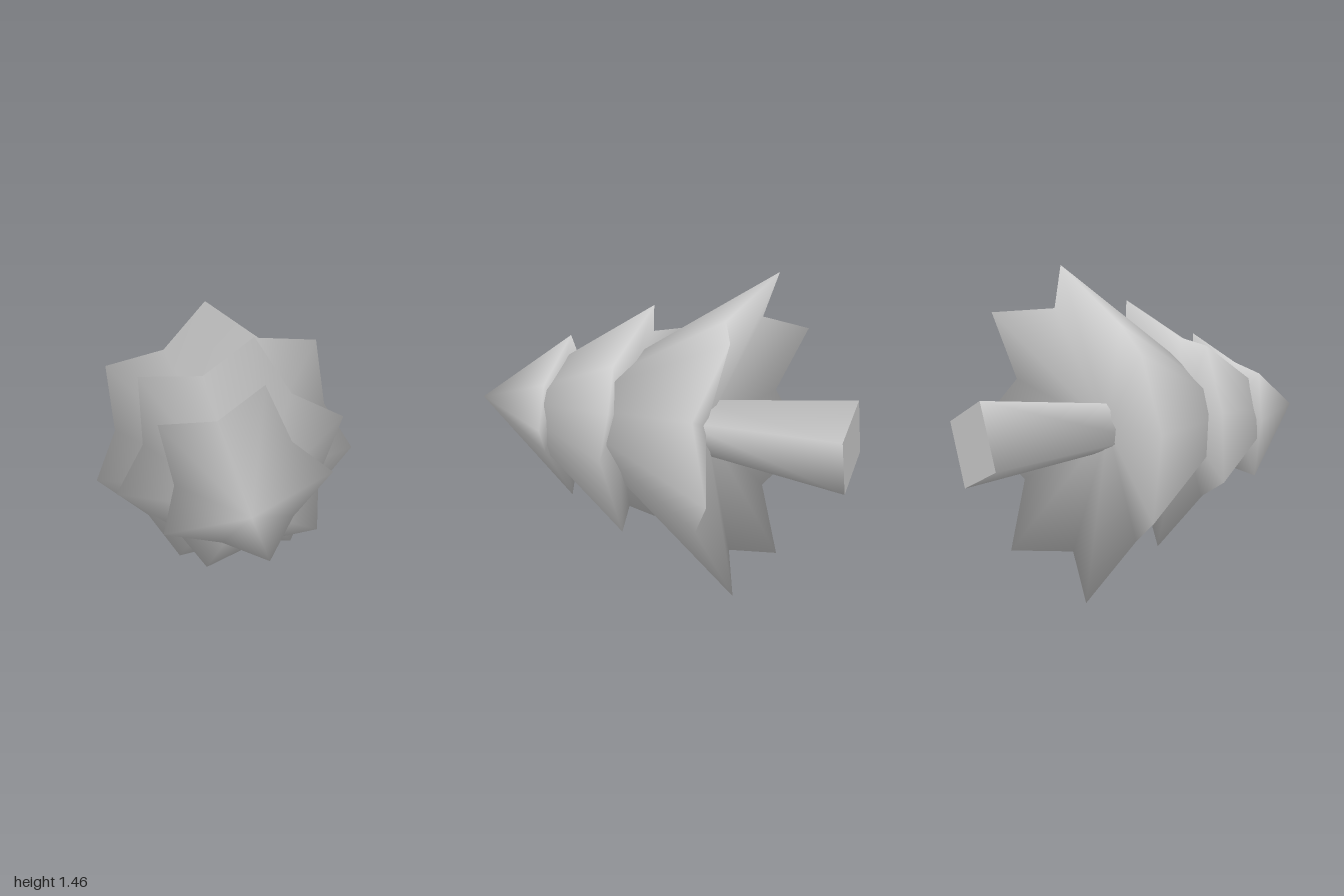
import * as THREE from 'three';

const AXIS_Y = 0.715; // the tree lies along z, tip towards +z

// Star-rimmed cone with a recessed underside. The rim is shared by both sides and
// rounded softly: its normals lean backwards by tipLean and notchLean.
function tierGeometry(t) {
  const n = t.points * 2;
  const pos = [0, 0, t.apex, 0, 0, t.base];
  const normal = [0, 0, 1, 0, 0, -1];
  const index = [];
  for (let i = 0; i < n; i++) {
    const a = THREE.MathUtils.degToRad(t.phase) + (i * Math.PI) / t.points;
    const [r, z, lean] = i % 2
      ? [t.notchR, t.notchZ, t.notchLean]
      : [t.tipR, t.tipZ, t.tipLean];
    const out = Math.sqrt(1 - lean * lean);
    pos.push(r * Math.cos(a), r * Math.sin(a), z);
    normal.push(out * Math.cos(a), out * Math.sin(a), -lean);
    const p = 2 + i, q = 2 + ((i + 1) % n);
    index.push(0, p, q, 1, q, p);
  }
  const geo = new THREE.BufferGeometry();
  geo.setAttribute('position', new THREE.Float32BufferAttribute(pos, 3));
  geo.setAttribute('normal', new THREE.Float32BufferAttribute(normal, 3));
  geo.setIndex(index);
  return geo;
}

export function createModel() {
  const grey = new THREE.MeshStandardMaterial({ color: 0xcccccc });
  grey.name = 'plain grey';
  const tree = new THREE.Group();
  tree.name = 'tree';

  const add = (name, x, geometry) => {
    const mesh = new THREE.Mesh(geometry, grey);
    mesh.name = name;
    mesh.position.set(x, AXIS_Y, 0);
    tree.add(mesh);
  };

  // Foliage tiers from the tip down
  add('topTier', -0.003, tierGeometry({ points: 5, phase: 74, apex: 1, base: 0.54,
    tipR: 0.433, tipZ: 0.36, tipLean: 0.55, notchR: 0.29, notchZ: 0.455, notchLean: 0.38 }));
  add('middleTier', -0.01, tierGeometry({ points: 6, phase: 78.5, apex: 0.93, base: 0.17,
    tipR: 0.605, tipZ: -0.085, tipLean: 0.45, notchR: 0.44, notchZ: 0.04, notchLean: 0.32 }));
  add('bottomTier', -0.022, tierGeometry({ points: 7, phase: 96.7, apex: 0.6, base: -0.3,
    tipR: 0.752, tipZ: -0.605, tipLean: 0.44, notchR: 0.59, notchZ: -0.46, notchLean: 0.35 }));

  // Four-sided trunk flaring towards its foot
  const trunk = new THREE.CylinderGeometry(0.12, 0.213, 0.8, 4, 1, false,
    THREE.MathUtils.degToRad(22));
  add('trunk', -0.022, trunk.rotateX(Math.PI / 2).translate(0, 0, -0.6));
  return tree;
}
